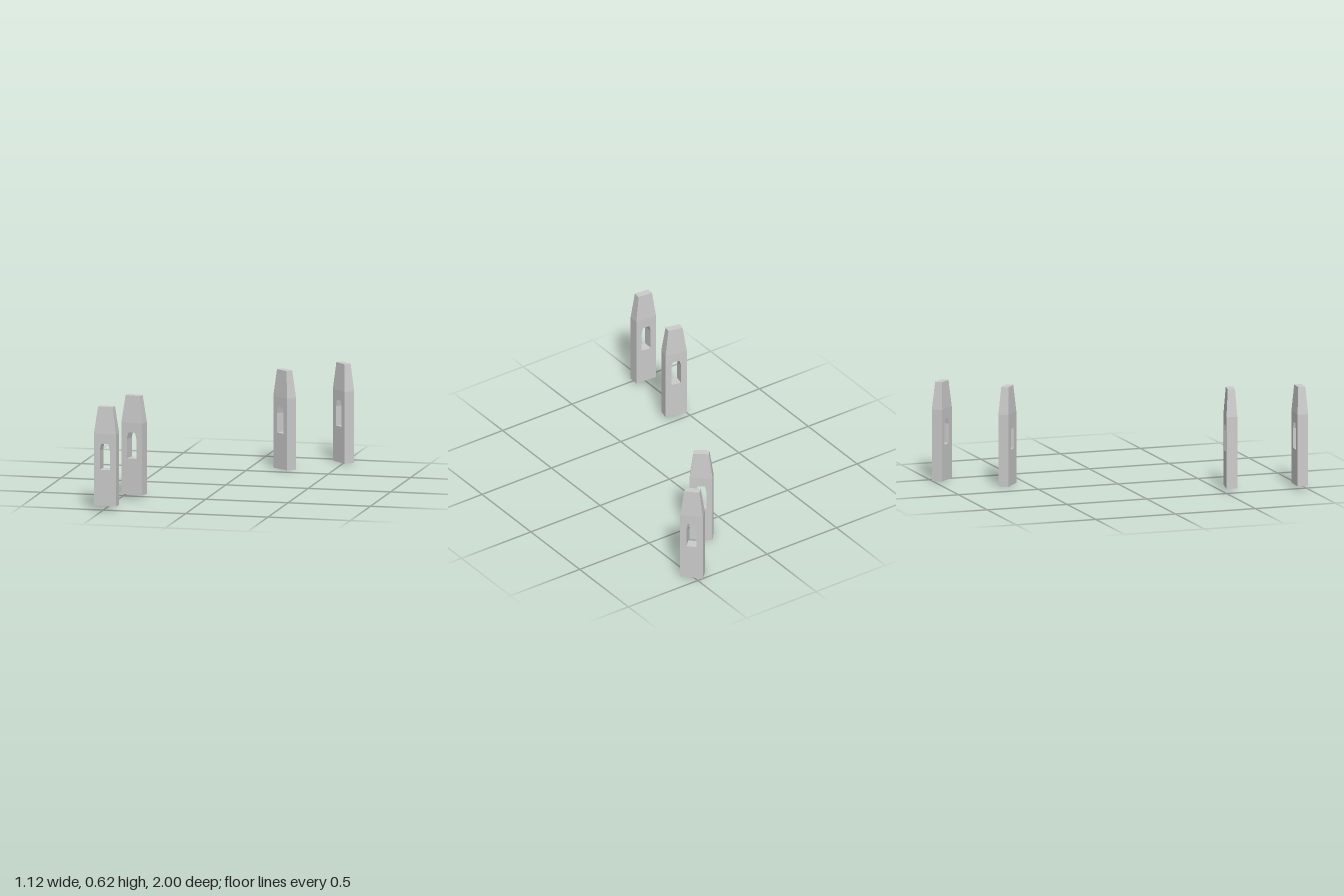
import * as THREE from 'three';

const WIDTH = 0.136, DEPTH = 0.065;      // post footprint
const SHOULDER = 0.43, HEIGHT = 0.592;   // where the taper starts and ends
const TAPER = 0.67;                      // scale of the top against the footprint

// Upright slab with a window whose upper corners slope inward
function bodyGeometry() {
  const w = WIDTH / 2;
  const outline = new THREE.Shape([
    [-w, 0], [w, 0], [w, SHOULDER], [-w, SHOULDER],
  ].map(([x, y]) => new THREE.Vector2(x, y)));
  outline.holes.push(new THREE.Path([
    [-0.031, 0.216], [-0.031, 0.332], [-0.022, 0.372],
    [0.022, 0.372], [0.031, 0.332], [0.031, 0.216],
  ].map(([x, y]) => new THREE.Vector2(x, y))));
  return new THREE.ExtrudeGeometry(outline, { depth: DEPTH, bevelEnabled: false })
    .translate(0, 0, -DEPTH / 2);
}

// Box narrowed towards its top on all four sides
function capGeometry() {
  const h = HEIGHT - SHOULDER;
  const geo = new THREE.BoxGeometry(WIDTH, h, DEPTH).translate(0, SHOULDER + h / 2, 0);
  const p = geo.attributes.position;
  for (let i = 0; i < p.count; i++) {
    if (p.getY(i) > SHOULDER + h / 2) {
      p.setX(i, p.getX(i) * TAPER);
      p.setZ(i, p.getZ(i) * TAPER);
    }
  }
  geo.computeVertexNormals();
  return geo;
}

export function createModel() {
  const model = new THREE.Group();
  model.name = 'windowedPosts';
  const material = new THREE.MeshStandardMaterial({ color: 0xcccccc, flatShading: true });
  const body = bodyGeometry(), cap = capGeometry();

  // Position and turn (degrees) of each post
  const posts = [
    ['frontOuterPost', -0.489, 0.024, 0.963, 4.5],
    ['frontInnerPost', -0.4215, 0.024, 0.5525, 12.4],
    ['backInnerPost', 0.206, 0, -0.62, 39],
    ['backOuterPost', 0.488, 0, -0.929, 45.5],
  ];
  for (const [name, x, y, z, turn] of posts) {
    const post = new THREE.Group();
    post.name = name;
    const slab = new THREE.Mesh(body, material);
    slab.name = 'windowedSlab';
    const top = new THREE.Mesh(cap, material);
    top.name = 'taperedTop';
    post.add(slab, top);
    post.position.set(x, y, z);
    post.rotation.y = -THREE.MathUtils.degToRad(turn);
    model.add(post);
  }
  return model;
}
